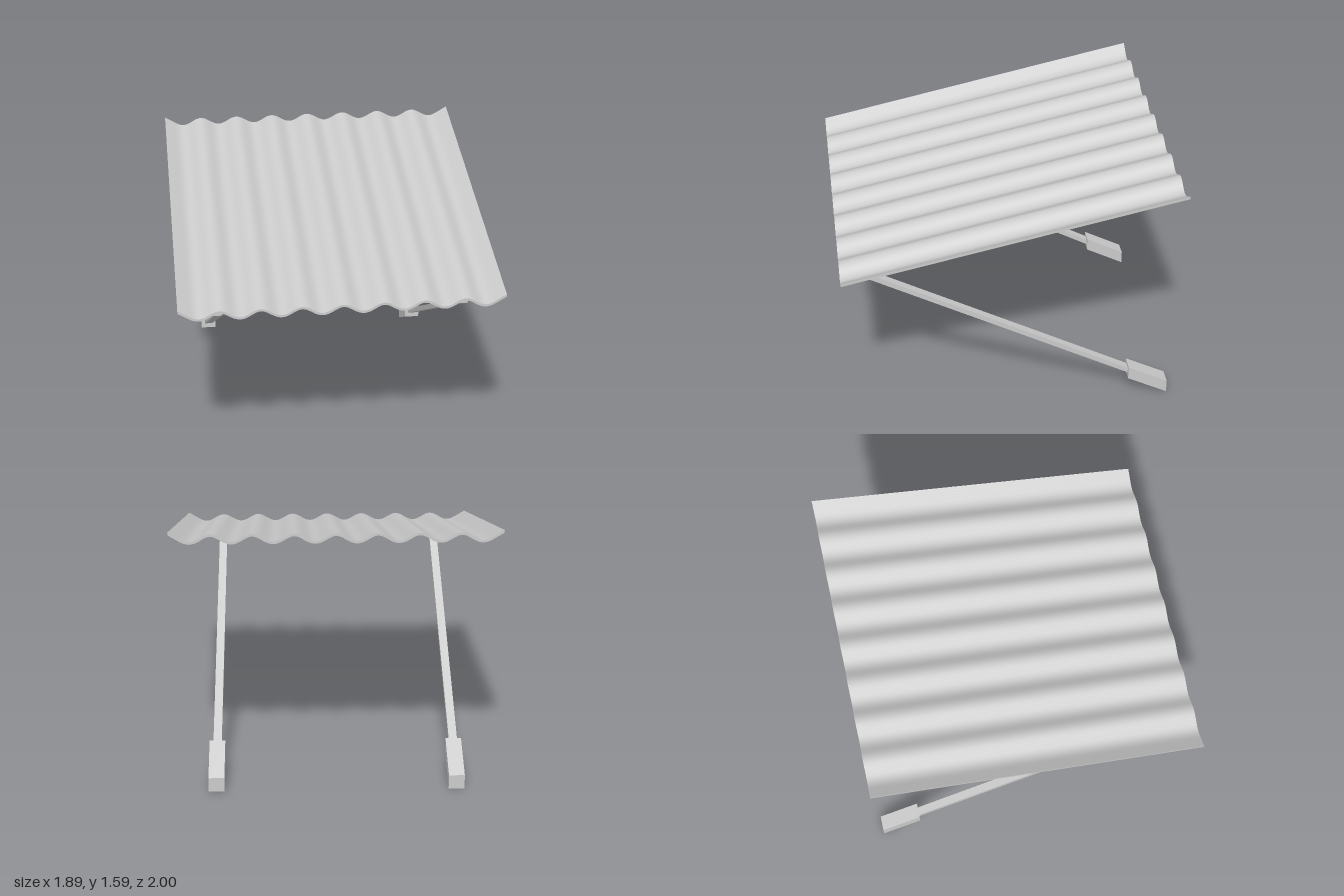
import * as THREE from 'three';
import { toCreasedNormals } from 'three/addons/utils/BufferGeometryUtils.js';

const material = new THREE.MeshStandardMaterial({ color: 0xcccccc });

// Tilt a geometry by sliding it upward in proportion to z, keeping its ends vertical
function shear(geometry, slope) {
  const p = geometry.attributes.position;
  for (let i = 0; i < p.count; i++) p.setY(i, p.getY(i) + slope * p.getZ(i));
  return toCreasedNormals(geometry, 0.6);
}

function addPart(parent, name, geometry, x, y, z) {
  const mesh = new THREE.Mesh(geometry, material);
  mesh.name = name;
  mesh.position.set(x, y, z);
  parent.add(mesh);
}

// Corrugated sheet: cosine waves whose outer flanks run straight to the edges
function roofGeometry() {
  const half = 0.945, pitch = half / 4, amp = 0.0225, thickness = 0.014, steps = 128;
  const k = (2 * Math.PI) / pitch;
  const flank = half - pitch / 4;
  const top = [], bottom = [];
  for (let i = 0; i <= steps; i++) {
    const x = -half + (2 * half * i) / steps;
    const a = Math.abs(x);
    const straight = a > flank;
    const y = straight ? amp * k * (a - flank) : amp * Math.cos(k * x);
    const slope = straight ? amp * k : amp * k * Math.sin(k * x);
    top.push(new THREE.Vector2(x, y));
    bottom.push(new THREE.Vector2(x, y - thickness * Math.hypot(1, slope)));
  }
  const shape = new THREE.Shape([...bottom, ...top.reverse()]);
  const geometry = new THREE.ExtrudeGeometry(shape, { depth: 2, bevelEnabled: false });
  geometry.translate(0, 0, -1);
  return shear(geometry, -0.2113);
}

export function createModel() {
  const model = new THREE.Group();
  model.name = 'awning';

  addPart(model, 'corrugatedRoof', roofGeometry(), 0, 1.341, 0);

  // Two diagonal props, each ending in a wall block
  for (const [side, x] of [['left', 0.706], ['right', -0.714]]) {
    const support = new THREE.Group();
    support.name = side + 'Support';
    support.position.x = x;
    addPart(support, 'strut', shear(new THREE.BoxGeometry(0.05, 0.035, 1.77), 0.55), 0, 0.629, 0.065);
    addPart(support, 'wallBlock', shear(new THREE.BoxGeometry(0.094, 0.085, 0.25), 0.53), 0, 0.109, -0.875);
    model.add(support);
  }
  return model;
}
